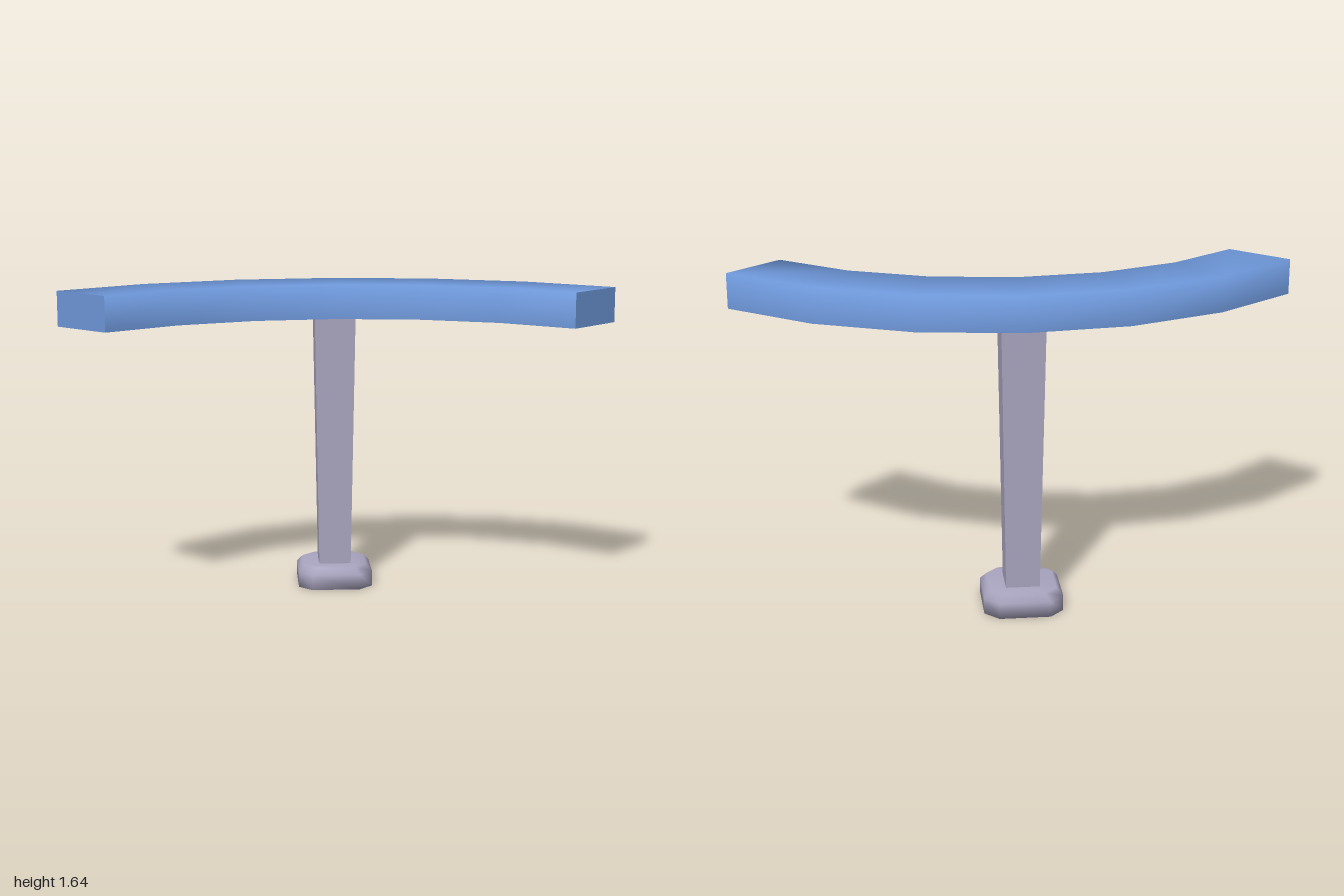
import * as THREE from 'three';

const blue = new THREE.MeshStandardMaterial({ color: 0x6c95d6 });
blue.name = 'blue';
const grey = new THREE.MeshStandardMaterial({ color: 0xaaa5c0 });
grey.name = 'warm grey';

// Smooth surface through a list of cross-sections; closed sections are capped at both ends.
function loft(sections, closed = false) {
  const n = sections[0].length;
  const index = [];
  for (let i = 0; i < sections.length - 1; i++) {
    for (let j = 0; j < (closed ? n : n - 1); j++) {
      const k = (j + 1) % n;
      const a = i * n + j, b = i * n + k;
      index.push(a, b, a + n, b, b + n, a + n);
    }
  }
  if (closed) {
    const top = (sections.length - 1) * n;
    for (let j = 1; j < n - 1; j++) {
      index.push(0, j + 1, j, top, top + j, top + j + 1);
    }
  }
  const geometry = new THREE.BufferGeometry();
  geometry.setAttribute('position', new THREE.Float32BufferAttribute(sections.flat(2), 3));
  geometry.setIndex(index);
  geometry.computeVertexNormals();
  return geometry;
}

function add(parent, name, geometry, material) {
  const mesh = new THREE.Mesh(geometry, material);
  mesh.name = name;
  parent.add(mesh);
  return mesh;
}

export function createModel() {
  const model = new THREE.Group();
  model.name = 'curvedRailOnPost';

  // Quarter-circle rail, swept about (1, 1)
  const rail = new THREE.Group();
  rail.name = 'curvedRail';
  model.add(rail);
  const low = 1.46, high = 1.64, outer = 2, inner = 1.64, steps = 6;
  const sections = [];
  for (let i = 0; i <= steps; i++) {
    const a = (i / steps) * Math.PI / 2;
    const at = (r, y) => [1 - r * Math.cos(a), y, 1 - r * Math.sin(a)];
    sections.push([at(outer, low), at(outer, high), at(inner, high), at(inner, low)]);
  }
  add(rail, 'railTopAndSides', loft(sections), blue);
  add(rail, 'railUnderside', loft(sections.map((s) => [s[3], s[0]])), blue);
  const [first, last] = [sections[0], sections[steps]];
  add(rail, 'railFrontEnd', loft([[first[1], first[0]], [first[2], first[3]]]), blue);
  add(rail, 'railSideEnd', loft([[last[0], last[1]], [last[3], last[2]]]), blue);

  // Four-sided post, widening towards the rail
  const foot = 0.11;
  const postGeometry = new THREE.CylinderGeometry(0.152, 0.12, low - foot, 4).toNonIndexed();
  postGeometry.computeVertexNormals();
  const post = add(model, 'post', postGeometry, grey);
  post.position.set(-0.293, (low + foot) / 2, -0.293);

  // Base: diagonal square with clipped corners and a bevelled top
  const octagon = (half, clip, y) => {
    const points = [];
    for (let q = 0; q < 4; q++) {
      const c = Math.round(Math.cos(q * Math.PI / 2)), s = Math.round(Math.sin(q * Math.PI / 2));
      for (const v of [-clip, clip]) points.push([half * c - v * s, y, -(half * s + v * c)]);
    }
    return points;
  };
  const base = add(model, 'base', loft([
    octagon(0.23, 0.05, 0),
    octagon(0.23, 0.05, 0.08),
    octagon(0.192, 0.045, 0.115),
  ], true), grey);
  base.position.set(-0.293, 0, -0.293);

  return model;
}
